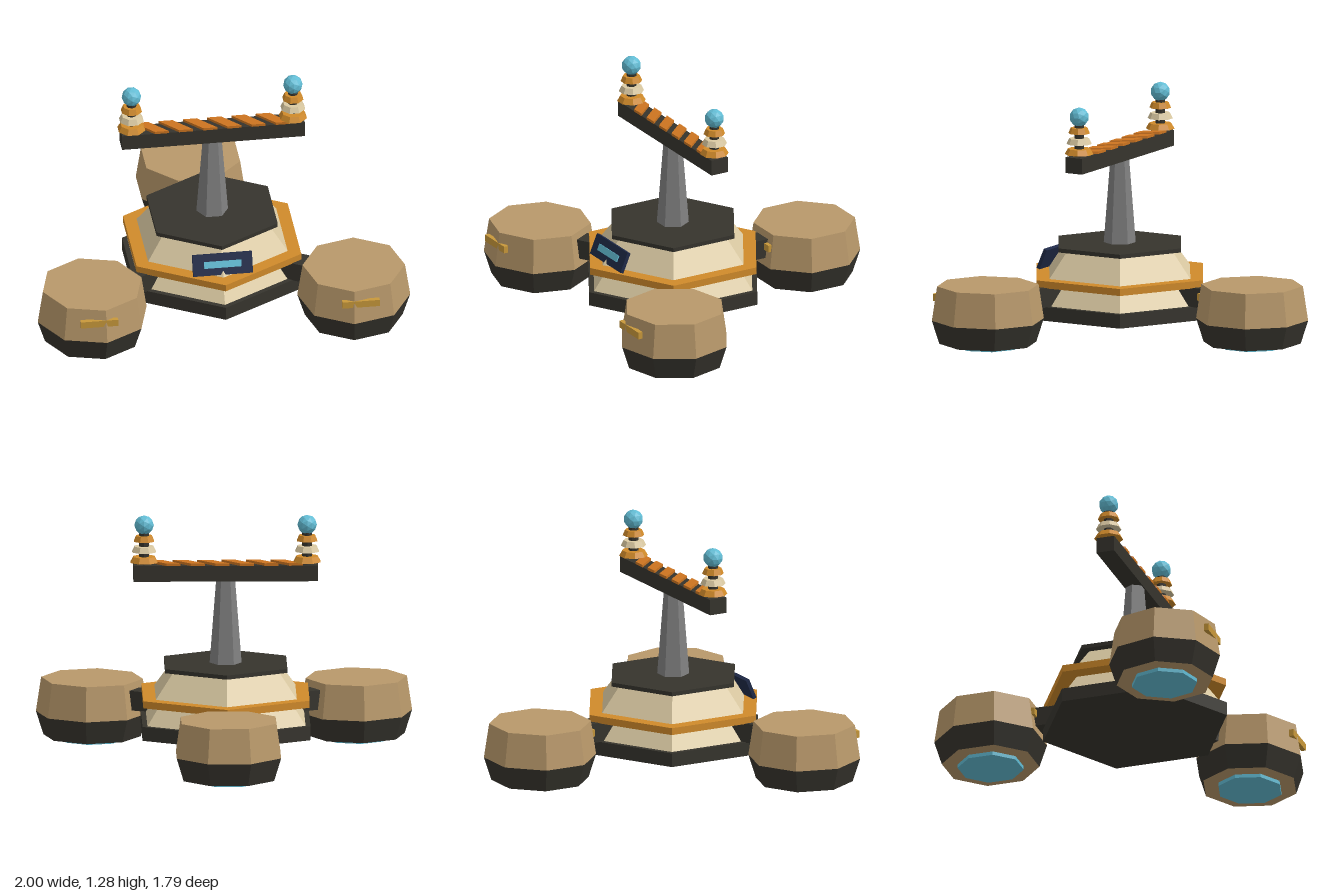
import * as THREE from 'three';

const mat = (name, color) => {
  const m = new THREE.MeshStandardMaterial({ color, flatShading: true });
  m.name = name;
  return m;
};

export function createModel() {
  const dark = mat('dark metal', 0x36342d);
  const tan = mat('tan armour', 0xb8986a);
  const cream = mat('cream hull', 0xdac9a2);
  const orange = mat('orange trim', 0xd08a2a);
  const hazard = mat('hazard orange', 0xcc7420);
  const grey = mat('grey mast', 0x808080);
  const glow = mat('cyan glow', 0x62bcd4);
  const navy = mat('navy panel', 0x1f2a48);
  const brass = mat('brass', 0xc8983a);

  const model = new THREE.Group();
  model.name = 'hoverPlatform';
  const HZ = 0.19; // hull centre

  const add = (parent, name, geo, material, x = 0, y = 0, z = 0) => {
    const mesh = new THREE.Mesh(geo, material);
    mesh.name = name;
    mesh.position.set(x, y, z);
    parent.add(mesh);
    return mesh;
  };
  // Tapered prism between two heights
  const prism = (parent, name, rBottom, rTop, y0, y1, sides, material, turn = 0) =>
    add(parent, name, new THREE.CylinderGeometry(rTop, rBottom, y1 - y0, sides).rotateY(turn),
      material, 0, (y0 + y1) / 2, 0);

  // Six-sided hull, stacked from the ground up
  const hull = new THREE.Group();
  hull.name = 'hull';
  hull.position.z = HZ;
  model.add(hull);
  prism(hull, 'hullBase', 0.515, 0.515, 0.115, 0.19, 6, dark);
  prism(hull, 'lowerHull', 0.485, 0.41, 0.19, 0.292, 6, cream);
  prism(hull, 'trimRing', 0.51, 0.51, 0.29, 0.328, 6, orange);
  prism(hull, 'upperHull', 0.432, 0.322, 0.328, 0.468, 6, cream);
  prism(hull, 'deck', 0.375, 0.375, 0.466, 0.488, 6, dark);
  prism(hull, 'mast', 0.085, 0.05, 0.488, 0.94, 6, grey, Math.PI / 6);

  // Tilted front panel with glowing slit
  const panel = new THREE.Group();
  panel.name = 'frontPanel';
  panel.position.set(0, 0.386, 0.576);
  panel.rotation.x = -0.4;
  model.add(panel);
  add(panel, 'panelPlate', new THREE.BoxGeometry(0.32, 0.115, 0.02), navy);
  add(panel, 'panelSlit', new THREE.BoxGeometry(0.2, 0.036, 0.008), glow, 0, 0, 0.012);

  // Three hover pods on struts, one at every other hull corner
  [['rear', Math.PI], ['leftFront', Math.PI / 3], ['rightFront', -Math.PI / 3]].forEach(([side, a]) => {
    const pod = new THREE.Group();
    pod.name = side + 'Pod';
    pod.position.set(Math.sin(a) * 0.81, 0, HZ + Math.cos(a) * 0.81);
    model.add(pod);
    const turn = a + Math.PI / 8;
    prism(pod, 'podShell', 0.3, 0.272, 0.145, 0.33, 8, tan, turn);
    prism(pod, 'podSkirt', 0.26, 0.3, 0.02, 0.145, 8, [dark, dark, tan], turn);
    prism(pod, 'hoverDisc', 0.176, 0.176, 0, 0.022, 8, glow, turn);
    add(pod, 'podHandle', new THREE.BoxGeometry(0.2, 0.038, 0.025), brass, 0, 0.255, 0.267);

    const strut = add(model, side + 'Strut', new THREE.BoxGeometry(0.11, 0.105, 0.26), dark,
      Math.sin(a) * 0.48, 0.24, HZ + Math.cos(a) * 0.48);
    strut.rotation.y = a;
  });

  // Crossbeam with slanted warning stripes
  add(model, 'crossbeam', new THREE.BoxGeometry(0.98, 0.085, 0.1), dark, 0, 0.977, HZ);
  const stripe = new THREE.Shape([[-0.085, 0.052], [-0.01, 0.052], [0.085, -0.052], [0.01, -0.052]]
    .map(([x, y]) => new THREE.Vector2(x, y)));
  const stripeGeo = new THREE.ExtrudeGeometry(stripe, { depth: 0.014, bevelEnabled: false });
  stripeGeo.rotateX(-Math.PI / 2);
  for (let i = 0; i < 6; i++) {
    add(model, 'warningStripe', stripeGeo, hazard, (i - 2.5) * 0.13, 1.019, HZ);
  }

  // Ringed emitters at both beam ends
  for (const s of [-1, 1]) {
    const emitter = new THREE.Group();
    emitter.name = s > 0 ? 'leftEmitter' : 'rightEmitter';
    emitter.position.set(s * 0.433, 0, HZ);
    model.add(emitter);
    prism(emitter, 'emitterCore', 0.027, 0.027, 1.015, 1.2, 8, dark);
    [[0.077, 1.032, orange], [0.068, 1.088, cream], [0.058, 1.145, orange]].forEach(([r, y, m]) =>
      prism(emitter, 'emitterRing', r, r * 0.78, y, y + 0.03, 8, m, Math.PI / 8));
    add(emitter, 'emitterOrb', new THREE.IcosahedronGeometry(0.052, 1), glow, 0, 1.232, 0);
  }
  return model;
}
